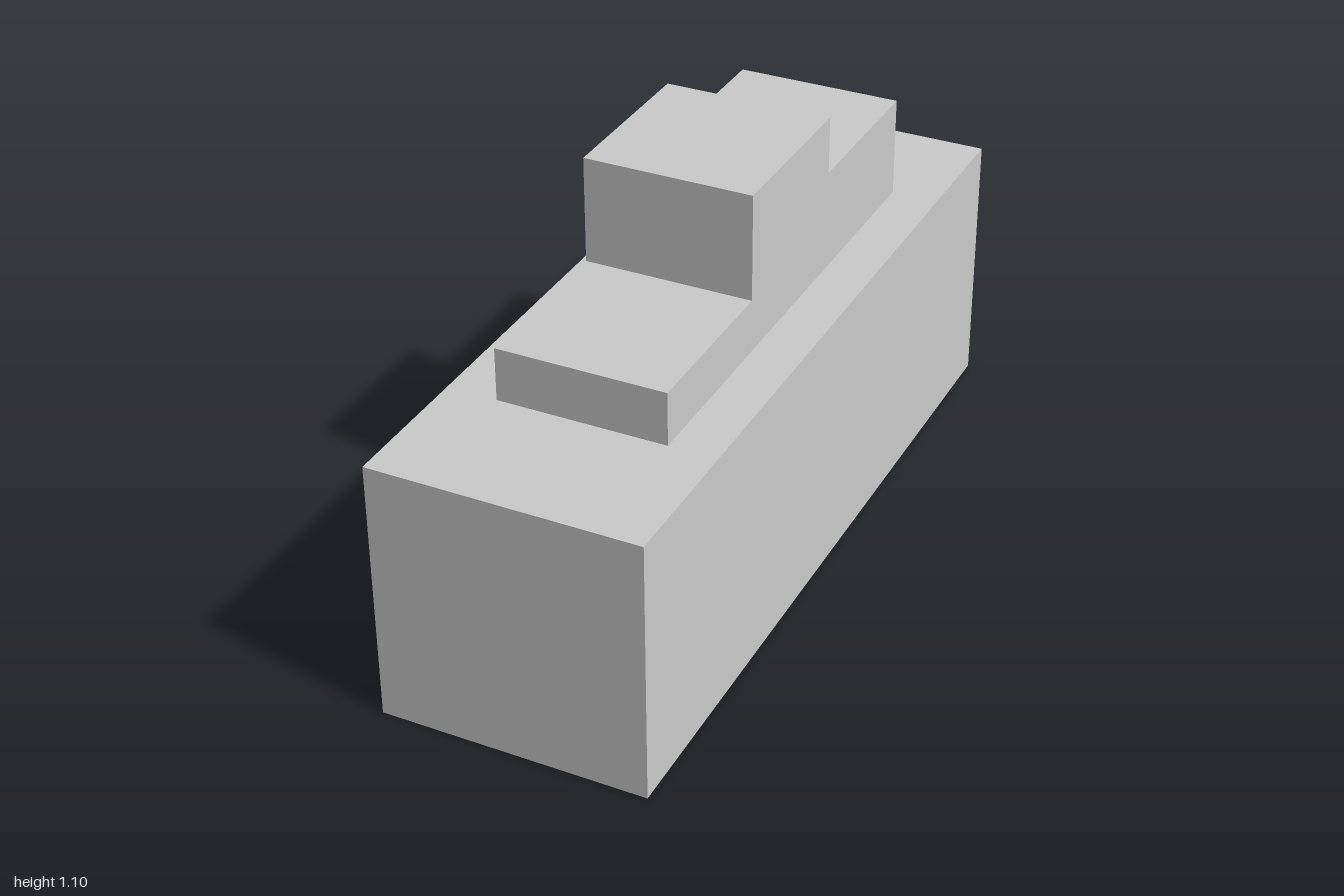
import * as THREE from 'three';

const material = new THREE.MeshStandardMaterial({ color: 0xcccccc, flatShading: true });
const sheet = new THREE.MeshStandardMaterial({ color: 0xcccccc, flatShading: true, side: THREE.DoubleSide });

const WIDTH = 0.68, HEIGHT = 0.68, LENGTH = 2, WALL = 0.04;

function add(parent, name, geometry, mat = material) {
  const mesh = new THREE.Mesh(geometry, mat);
  mesh.name = name;
  parent.add(mesh);
  return mesh;
}

// Points are [z, y], starting at the front bottom corner and running backwards;
// the profile is extruded along x from x0 to x1.
const toPoints = (profile) => profile.map(([z, y]) => new THREE.Vector2(-z, y));

function extrudeAlongX(profile, x0, x1, hole) {
  const shape = new THREE.Shape(toPoints(profile));
  if (hole) shape.holes.push(new THREE.Path(toPoints(hole)));
  const geometry = new THREE.ExtrudeGeometry(shape, { depth: x1 - x0, bevelEnabled: false });
  return geometry.rotateY(Math.PI / 2).translate(x0, 0, 0);
}

const rectangle = (z, y0, y1) => [[z, y0], [-z, y0], [-z, y1], [z, y1]];

export function createModel() {
  const model = new THREE.Group();
  model.name = 'podiumOnCabinet';

  // Cabinet, open on the -x side
  const cabinet = new THREE.Group();
  cabinet.name = 'cabinet';
  model.add(cabinet);
  const half = WIDTH / 2, end = LENGTH / 2;
  add(cabinet, 'cabinetFrame', extrudeAlongX(
    rectangle(end, 0, HEIGHT), -half, half - WALL,
    rectangle(end - WALL, WALL, HEIGHT - WALL)));
  add(cabinet, 'cabinetBack', new THREE.BoxGeometry(WALL, HEIGHT, LENGTH))
    .position.set(half - WALL / 2, HEIGHT / 2, 0);

  // Thin middle shelf, flush with the opening
  const shelf = new THREE.PlaneGeometry(WIDTH - WALL, LENGTH - 2 * WALL).rotateX(-Math.PI / 2);
  add(cabinet, 'shelf', shelf, sheet).position.set(-WALL / 2, 0.345, 0);

  // Three-step podium, hovering just above the cabinet top
  const base = 0.69, low = 0.826, middle = 0.95, high = 1.097;
  const step = 0.218, reach = 0.653;
  add(model, 'steppedPodium', extrudeAlongX([
    [reach, base], [-reach, base], [-reach, middle], [-step, middle],
    [-step, high], [step, high], [step, low], [reach, low],
  ], -0.203, 0.225)).position.z = 0.002;

  return model;
}
